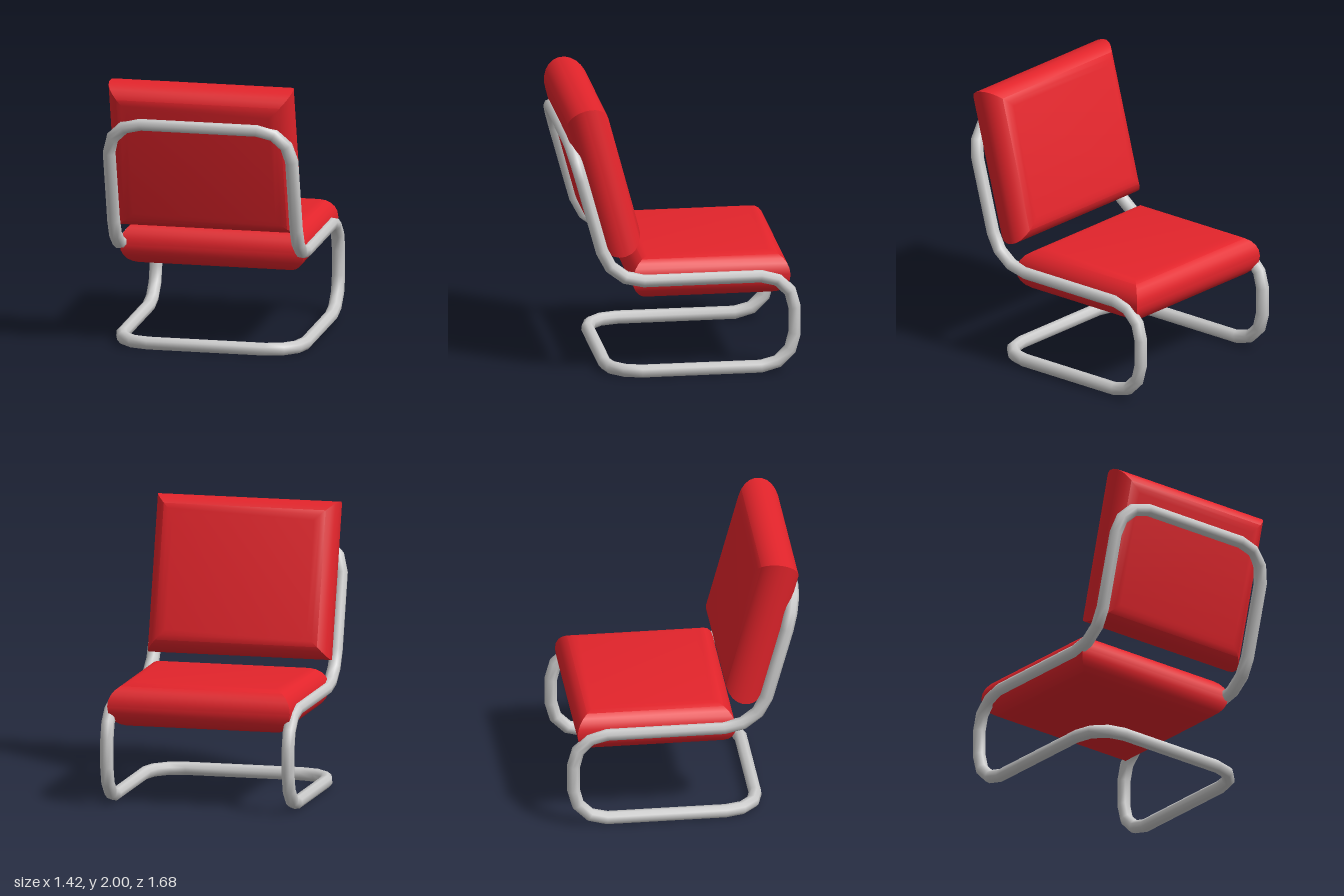
import * as THREE from 'three';
import { toCreasedNormals } from 'three/addons/utils/BufferGeometryUtils.js';

const TUBE_R = 0.0475, HALF_W = 0.665, BEND = 0.24;

// Closed polyline that puts exactly one tube ring on each of its points
class PolyLoop extends THREE.Curve {
  constructor(points) {
    super();
    this.points = points;
  }
  at(i) {
    const n = this.points.length;
    return this.points[((i % n) + n) % n];
  }
  getPointAt(u, target = new THREE.Vector3()) {
    return target.copy(this.at(Math.round(u * this.points.length)));
  }
  getPoint(u, target) {
    return this.getPointAt(u, target);
  }
  getTangentAt(u, target = new THREE.Vector3()) {
    const i = Math.round(u * this.points.length), p = this.at(i);
    const before = p.clone().sub(this.at(i - 1)).normalize();
    const after = this.at(i + 1).clone().sub(p).normalize();
    return target.copy(before).add(after).normalize();
  }
}

// Replace every corner of a closed loop by a circular arc
function roundCorners(corners, reach, segments) {
  const n = corners.length, out = [];
  corners.forEach((c, i) => {
    const a = corners[(i + n - 1) % n].clone().sub(c).normalize();
    const b = corners[(i + 1) % n].clone().sub(c).normalize();
    const half = a.angleTo(b) / 2;
    const radius = reach * Math.tan(half);
    const inward = a.clone().add(b).normalize();
    const across = b.clone().sub(a).normalize();
    const centre = c.clone().addScaledVector(inward, reach / Math.cos(half));
    const sweep = Math.PI / 2 - half;
    for (let k = 0; k <= segments; k++) {
      const t = sweep * (2 * k / segments - 1);
      out.push(centre.clone()
        .addScaledVector(inward, -radius * Math.cos(t))
        .addScaledVector(across, radius * Math.sin(t)));
    }
  });
  return out;
}

// Padded slab with rounded, mitred edges, lying in the xy plane
function cushionGeometry(width, height, thickness) {
  const w = width / 2, h = height / 2, depth = 0.01;
  const outline = new THREE.Shape([
    new THREE.Vector2(-w, -h), new THREE.Vector2(w, -h),
    new THREE.Vector2(w, h), new THREE.Vector2(-w, h),
  ]);
  const bevel = (thickness - depth) / 2;
  const geometry = new THREE.ExtrudeGeometry(outline, {
    depth, bevelThickness: bevel, bevelSize: bevel, bevelOffset: -bevel, bevelSegments: 6,
  });
  geometry.translate(0, 0, -depth / 2);
  return toCreasedNormals(geometry, 0.6);
}

export function createModel() {
  const model = new THREE.Group();
  model.name = 'cantileverChair';
  const steel = new THREE.MeshStandardMaterial({ color: 0xcccccc });
  const fabric = new THREE.MeshStandardMaterial({ color: 0xe3242b });

  // Frame: one bent tube, side profile as [y, z] from back arch to floor bar
  const side = [[1.712, 0.797], [0.718, 0.525], [0.718, -0.795], [TUBE_R, -0.795], [TUBE_R, 0.535]];
  const corners = [
    ...side.map(([y, z]) => new THREE.Vector3(HALF_W, y, z)),
    ...side.slice().reverse().map(([y, z]) => new THREE.Vector3(-HALF_W, y, z)),
  ];
  const path = new PolyLoop(roundCorners(corners, BEND, 3));
  const frame = new THREE.Mesh(
    new THREE.TubeGeometry(path, path.points.length, TUBE_R, 8, true), steel);
  frame.name = 'tubeFrame';
  model.add(frame);

  // Cushions: flat seat and reclined backrest
  const cushion = cushionGeometry(1.34, 1.13, 0.314);
  const seat = new THREE.Mesh(cushion, fabric);
  seat.name = 'seatCushion';
  seat.rotation.x = Math.PI / 2;
  seat.position.set(0, 0.718, -0.2);

  const backrest = new THREE.Mesh(cushion, fabric);
  backrest.name = 'backrestCushion';
  backrest.rotation.x = THREE.MathUtils.degToRad(15);
  backrest.position.set(0, 1.448, 0.565);

  model.add(seat, backrest);
  return model;
}
